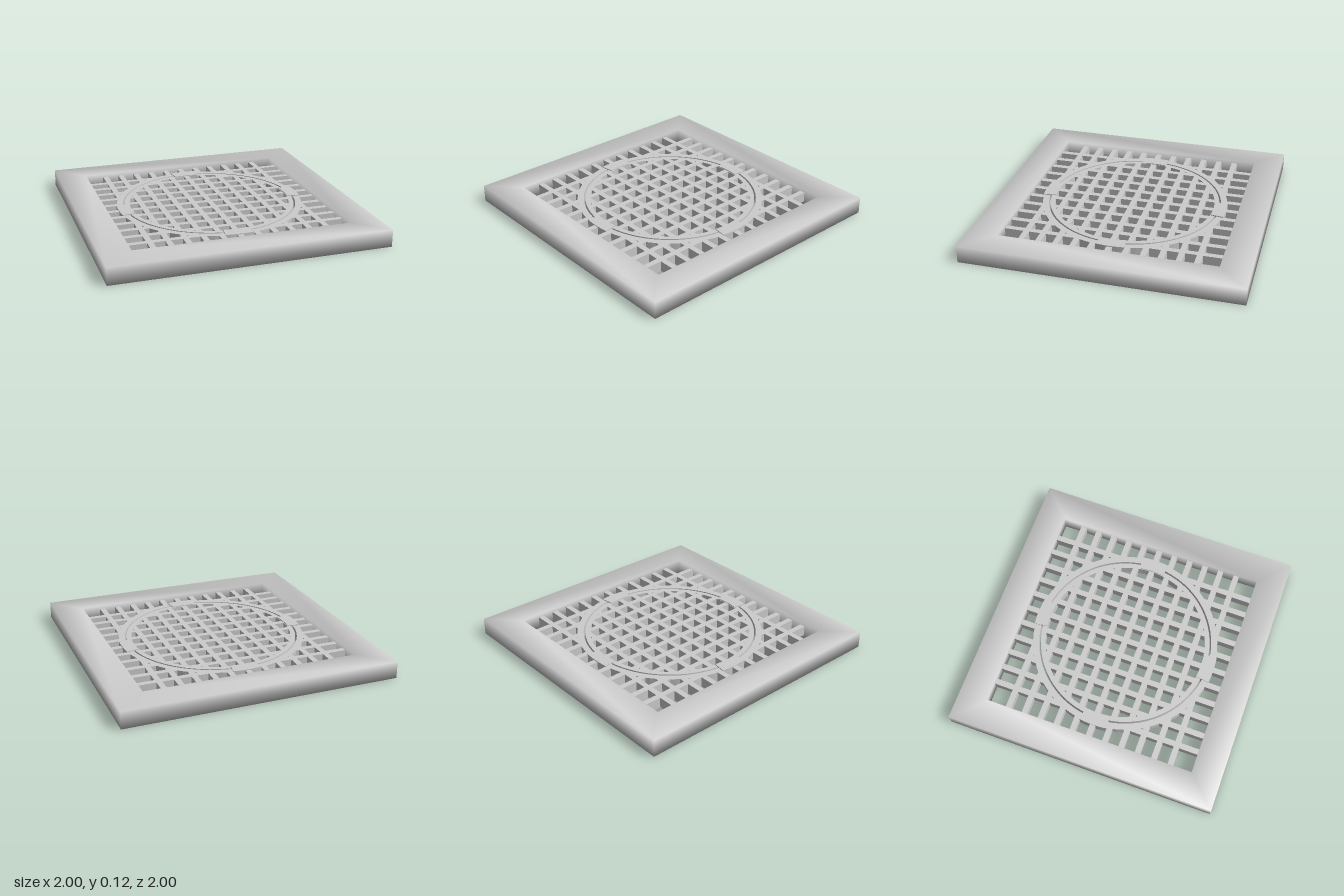
import * as THREE from 'three';
import { mergeVertices } from 'three/addons/utils/BufferGeometryUtils.js';

const material = new THREE.MeshStandardMaterial({ color: 0xcccccc });
const HEIGHT = 0.125, OPENING = 0.785;
const LOW = 0.025, HIGH = 0.1;            // bottom and top of the grating
const BAR = 0.042, PITCH = 0.125;
const LID = [0.596, 0.632], SEAT = [0.644, 0.69]; // inner and outer radii of the rings

function add(parent, name, geometry) {
  const mesh = new THREE.Mesh(geometry, material);
  mesh.name = name;
  parent.add(mesh);
  return mesh;
}

// Flat arc or full ring lying level between two heights
function flatRing(inner, outer, start, end, y0, y1) {
  const shape = new THREE.Shape();
  if (end - start >= Math.PI * 2) {
    shape.absarc(0, 0, outer, 0, Math.PI * 2, false);
    shape.holes.push(new THREE.Path().absarc(0, 0, inner, 0, Math.PI * 2, true));
  } else {
    shape.absarc(0, 0, outer, start, end, false);
    shape.absarc(0, 0, inner, end, start, true);
    shape.closePath();
  }
  const curveSegments = end - start > 1 ? 48 : 6;
  return new THREE.ExtrudeGeometry(shape, { depth: y1 - y0, bevelEnabled: false, curveSegments })
    .rotateX(-Math.PI / 2).translate(0, y0, 0);
}

// Square frame: a closed section swept round four corners, softly shaded
function frameGeometry() {
  const section = [[1, 0], [1, HEIGHT], [OPENING, HEIGHT], [OPENING, 0], [1, 0]]
    .map(([r, y]) => new THREE.Vector2(r * Math.SQRT2, y));
  const swept = new THREE.LatheGeometry(section, 4, Math.PI / 4);
  swept.deleteAttribute('normal');
  swept.deleteAttribute('uv');
  const geometry = mergeVertices(swept);
  geometry.computeVertexNormals();
  return geometry;
}

// A bar at offset across, running from a to b along z (or along x when turned)
function addBar(parent, name, offset, a, b, turned) {
  const geometry = new THREE.BoxGeometry(BAR, HIGH - LOW, b - a);
  geometry.translate(offset, (LOW + HIGH) / 2, (a + b) / 2);
  if (turned) geometry.rotateY(Math.PI / 2);
  add(parent, name, geometry);
}

export function createModel() {
  const model = new THREE.Group();
  model.name = 'squareGrate';
  add(model, 'frame', frameGeometry());

  const lid = new THREE.Group();
  lid.name = 'roundLid';
  const surround = new THREE.Group();
  surround.name = 'surroundGrating';
  model.add(lid, surround);

  // Two concentric rings with a narrow gap between them
  add(lid, 'lidRing', flatRing(...LID, 0, Math.PI * 2, LOW, HIGH));
  add(surround, 'seatRing', flatRing(...SEAT, 0, Math.PI * 2, LOW, HIGH));

  // Grid bars, cut where they meet the rings
  for (const turned of [false, true]) {
    for (let i = -5; i <= 5; i++) {
      const offset = i * PITCH;
      const near = Math.max(0, Math.abs(offset) - BAR / 2);
      const far = Math.abs(offset) + BAR / 2;
      if (far < LID[0]) {
        const reach = Math.sqrt(0.63 ** 2 - far ** 2);
        addBar(lid, 'lidBar', offset, -reach, reach, turned);
      }
      const start = Math.sqrt(0.65 ** 2 - near ** 2);
      addBar(surround, 'surroundBar', offset, start, OPENING + 0.005, turned);
      addBar(surround, 'surroundBar', offset, -OPENING - 0.005, -start, turned);
    }
  }

  // Four tabs bridging the gap
  for (let i = 0; i < 4; i++) {
    const angle = i * Math.PI / 2;
    add(model, 'lockingTab', flatRing(0.6, 0.695, angle - 0.153, angle + 0.153, LOW - 0.006, HIGH + 0.006));
  }
  return model;
}
